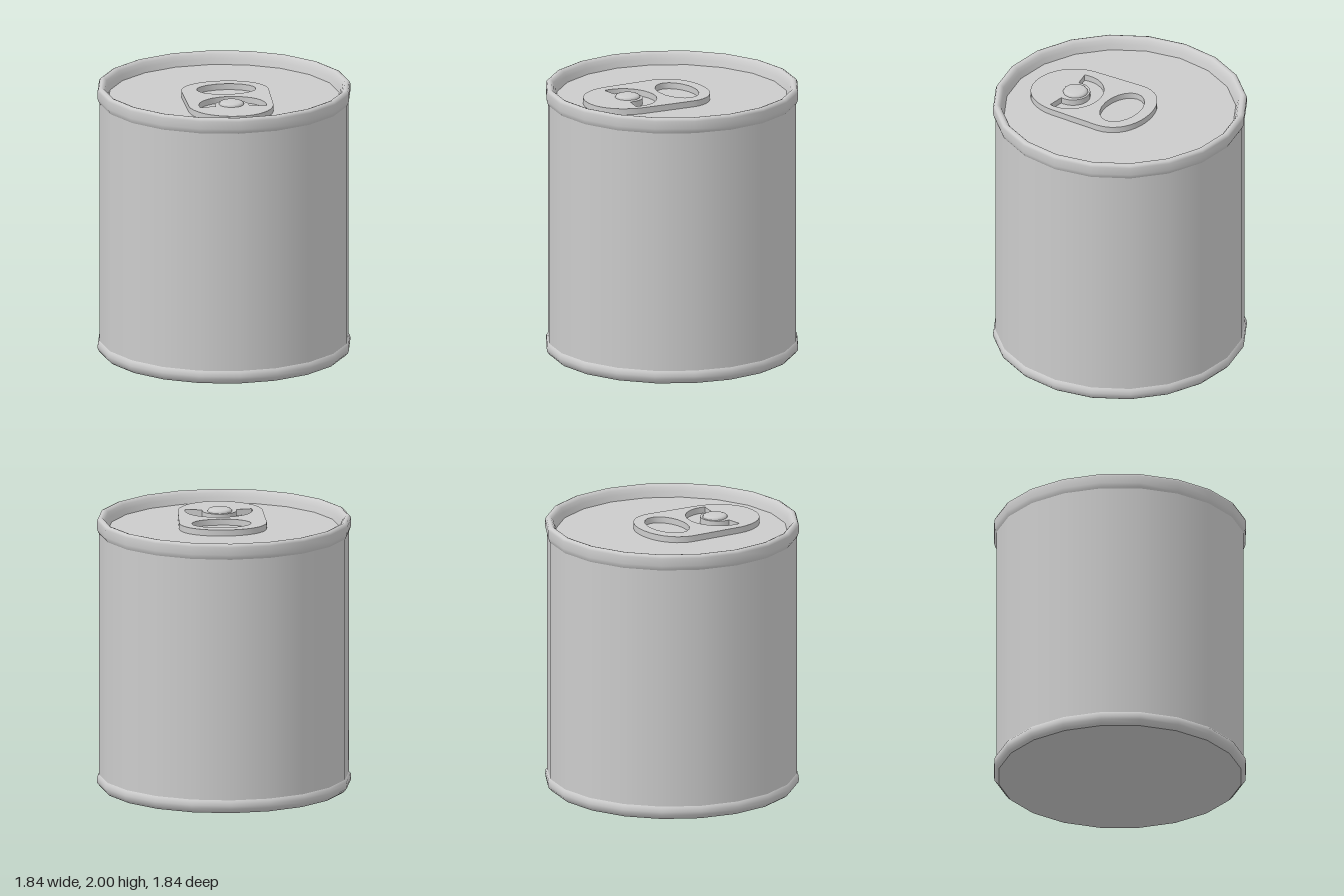
import * as THREE from 'three';
import { toCreasedNormals } from 'three/addons/utils/BufferGeometryUtils.js';

const SIDES = 20;
const LID_Y = 1.91;
const material = new THREE.MeshStandardMaterial({ color: 0xcccccc });

const vectors = (pairs) => pairs.map(([a, b]) => new THREE.Vector2(a, b));

export function createModel() {
  const group = new THREE.Group();
  const add = (name, geometry) => {
    const mesh = new THREE.Mesh(geometry, material);
    mesh.name = name;
    group.add(mesh);
    return mesh;
  };
  const lathe = (name, profile, sides = SIDES) =>
    add(name, new THREE.LatheGeometry(vectors(profile), sides));
  const disc = (name, radius, y, tilt) => {
    const mesh = add(name, new THREE.CircleGeometry(radius, SIDES));
    mesh.rotation.x = tilt;
    mesh.position.y = y;
  };

  // Can wall with rolled rims at both ends
  lathe('body', [[0.905, 0.08], [0.905, 1.9]]);
  lathe('topRim', [
    [0.903, 1.88], [0.912, 1.895], [0.92, 1.92], [0.921, 1.975], [0.913, 1.993],
    [0.896, 2], [0.88, 1.996], [0.865, 1.98], [0.852, 1.95], [0.84, LID_Y],
  ]);
  lathe('bottomRim', [
    [0.885, 0], [0.9, 0.012], [0.918, 0.035], [0.921, 0.06], [0.917, 0.085], [0.904, 0.1],
  ]);
  disc('lid', 0.842, LID_Y, -Math.PI / 2);
  disc('base', 0.886, 0, Math.PI / 2);

  // Pull tab: rounded outline drawn in plan, with shape y pointing to the back
  const tab = new THREE.Shape();
  tab.moveTo(0.325, 0);
  tab.bezierCurveTo(0.325, 0.16, 0.18, 0.25, 0.01, 0.25);
  tab.bezierCurveTo(-0.16, 0.25, -0.31, 0.16, -0.31, 0);
  tab.lineTo(-0.302, -0.4);
  tab.bezierCurveTo(-0.29, -0.56, -0.16, -0.695, 0.02, -0.695);
  tab.bezierCurveTo(0.19, -0.695, 0.3, -0.56, 0.312, -0.4);
  tab.closePath();

  // Finger hole
  const fingerHole = new THREE.Path();
  fingerHole.absellipse(0.02, 0.03, 0.215, 0.138, 0, Math.PI * 2, true);

  // Horseshoe slot around the rivet tongue
  const slot = new THREE.Path();
  slot.absellipse(0.017, -0.39, 0.245, 0.22, -0.2, Math.PI + 0.2, false);
  slot.absellipse(0.012, -0.39, 0.125, 0.125, Math.PI + 0.2, -0.2, true);
  slot.closePath();
  tab.holes.push(fingerHole, slot);

  const tabGeometry = new THREE.ExtrudeGeometry(tab, {
    depth: 0.045, bevelEnabled: false, curveSegments: 10,
  });
  tabGeometry.rotateX(-Math.PI / 2);
  add('pullTab', toCreasedNormals(tabGeometry, 0.8)).position.y = LID_Y;

  // Rivet head holding the tab
  const rivet = lathe('rivet', [
    [0.095, 0], [0.09, 0.05], [0.082, 0.062], [0.065, 0.068], [0, 0.07],
  ], 16);
  rivet.position.set(0.01, LID_Y, 0.37);

  return group;
}
